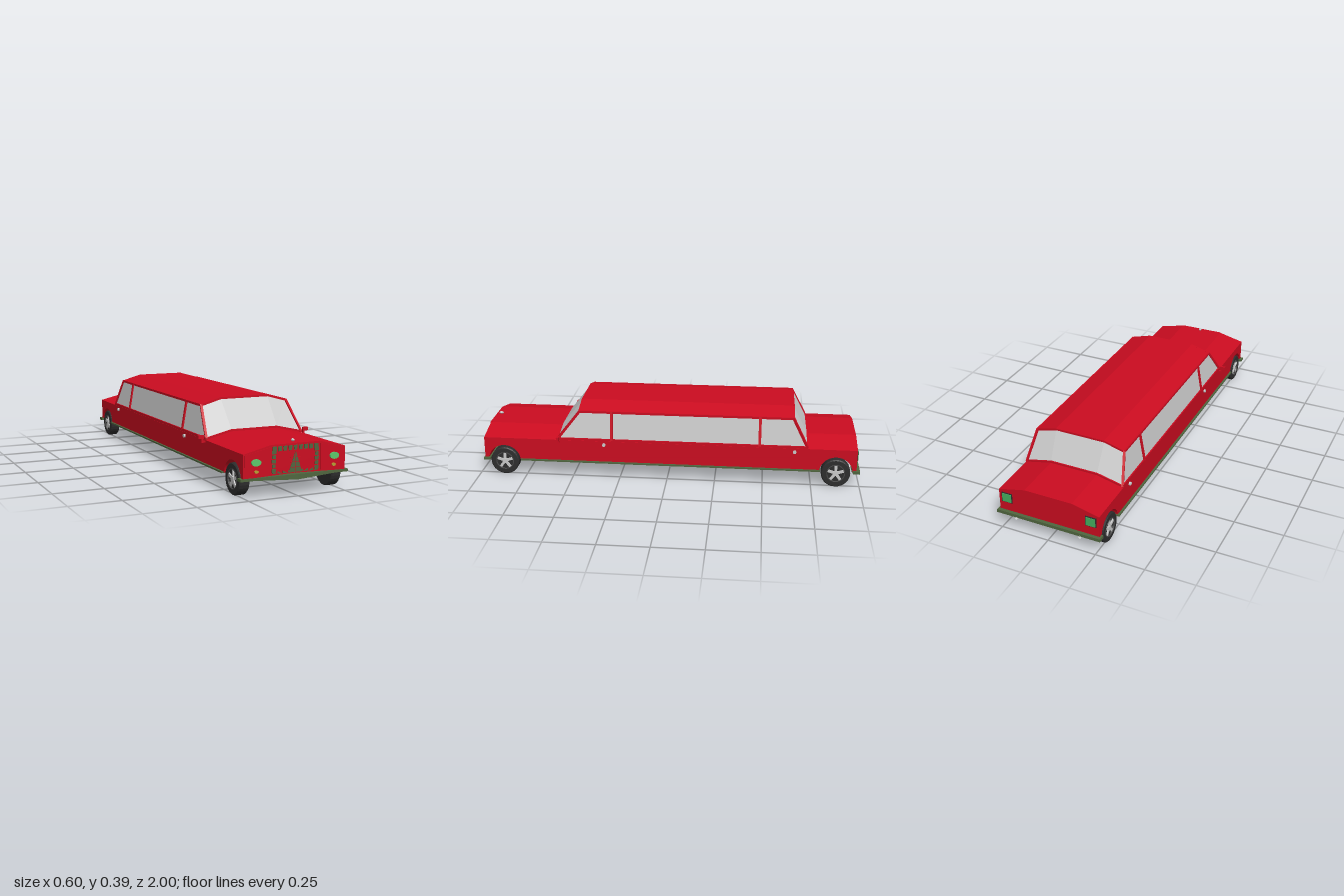
import * as THREE from 'three';

const mat = (color, side = THREE.FrontSide) =>
  new THREE.MeshStandardMaterial({ color, side, flatShading: true });
const RED = mat(0xcc0c20), GREEN = mat(0x50663f), DARK = mat(0x2e2e2e), RIM = mat(0x4a4a4a);
const GREY = mat(0xcccccc), LAMP = mat(0x5cc96c), TAIL = mat(0x45b060), AMBER = mat(0xb8a034);
const GLASS = mat(0xcccccc, THREE.DoubleSide), ROOF = mat(0xcc0c20, THREE.DoubleSide);

const V = (x, y, z) => new THREE.Vector3(x, y, z);

export function createModel() {
  const car = new THREE.Group();
  car.name = 'limousine';

  const add = (name, geo, material, x = 0, y = 0, z = 0, parent = car) => {
    const m = new THREE.Mesh(geo, material);
    m.name = name;
    m.position.set(x, y, z);
    parent.add(m);
    return m;
  };
  const box = (name, material, w, h, d, x, y, z) =>
    add(name, new THREE.BoxGeometry(w, h, d), material, x, y, z);

  // Square bar running between two points
  const bar = (name, a, b, w, material = RED, h = w) => {
    const m = add(name, new THREE.BoxGeometry(w, h, a.distanceTo(b) + w * 0.5), material);
    m.position.copy(a).add(b).multiplyScalar(0.5);
    m.lookAt(b);
    return m;
  };

  // Faceted sheet between two rows of points
  const sheet = (name, rowA, rowB, material) => {
    const p = [];
    for (let i = 0; i < rowA.length - 1; i++) {
      for (const v of [rowA[i], rowA[i + 1], rowB[i + 1], rowA[i], rowB[i + 1], rowB[i]]) p.push(v.x, v.y, v.z);
    }
    const g = new THREE.BufferGeometry();
    g.setAttribute('position', new THREE.Float32BufferAttribute(p, 3));
    g.computeVertexNormals();
    return add(name, g, material);
  };

  // Flat outline extruded towards +z
  const plate = (name, points, depth, material, x = 0, y = 0, z = 0) =>
    add(name, new THREE.ExtrudeGeometry(new THREE.Shape(points.map(([a, b]) => new THREE.Vector2(a, b))),
      { depth, bevelEnabled: false }), material, x, y, z);

  const axles = [0.865, -0.875];

  // Lower body: side profile with round wheel arches cut right across
  const side = new THREE.Shape();
  const R = 0.086, cy = 0.078, low = 0.088;
  const half = Math.sqrt(R * R - (low - cy) ** 2), ang = Math.asin((low - cy) / R);
  side.moveTo(-0.98, low);
  for (const z of [axles[1], axles[0]]) {
    side.lineTo(z - half, low);
    side.absarc(z, cy, R, Math.PI - ang, ang, true);
  }
  side.lineTo(0.97, low);
  side.lineTo(0.97, 0.205);
  side.lineTo(-0.98, 0.205);
  const bodyGeo = new THREE.ExtrudeGeometry(side, { depth: 0.53, bevelEnabled: false, curveSegments: 20 });
  bodyGeo.rotateY(-Math.PI / 2);
  add('body', bodyGeo, RED, 0.265);

  // Crowned bonnet and boot deck
  plate('deck', [[-0.265, 0.205], [0.265, 0.205], [0.125, 0.238], [-0.125, 0.238]], 1.95, RED, 0, 0, -0.98);

  // Cabin: four-point rows across the car for screen bases and roof ends
  const row = (pts, z) => pts.map(([x, y]) => V(x, y, z));
  const basePts = [[-0.26, 0.212], [-0.125, 0.243], [0.125, 0.243], [0.26, 0.212]];
  const topPts = [[-0.235, 0.357], [-0.13, 0.386], [0.13, 0.386], [0.235, 0.357]];
  const fb = row(basePts, 0.575), ft = row(topPts, 0.46);
  const rb = row(basePts, -0.725), rt = row(topPts, -0.65);
  sheet('windscreen', fb, ft, GLASS);
  sheet('rearWindow', rt, rb, GLASS);
  for (const i of [0, 3]) sheet('sideWindows', [fb[i], rb[i]], [ft[i], rt[i]], GLASS);
  sheet('roof', row(topPts.map(([x, y]) => [x, y + 0.005]), 0.465),
    row(topPts.map(([x, y]) => [x, y + 0.005]), -0.655), ROOF);

  // Window frames, roof edges and pillars
  for (const [b, t] of [[fb, ft], [rb, rt]]) {
    for (let i = 0; i < 3; i++) {
      bar('screenSill', b[i], b[i + 1], 0.009);
      bar('roofEdge', t[i], t[i + 1], 0.01);
    }
    for (const i of [0, 3]) bar('cornerPillar', b[i], t[i], 0.012);
  }
  for (const i of [0, 3]) {
    bar('roofRail', ft[i], rt[i], 0.011);
    bar('windowSill', fb[i], rb[i], 0.012);
    const s = Math.sign(fb[i].x);
    for (const z of [0.29, -0.48]) bar('doorPillar', V(s * 0.26, 0.212, z), V(s * 0.235, 0.357, z), 0.014);
  }

  // Floor, bumpers
  box('floor', GREEN, 0.55, 0.008, 1.57, 0, 0.088, -0.01);
  box('rearFloor', GREEN, 0.53, 0.008, 0.03, 0, 0.088, -0.972);
  box('rearBumper', GREEN, 0.55, 0.016, 0.035, 0, 0.086, -0.98);
  const bumper = new THREE.BoxGeometry(0.56, 0.012, 0.035, 8, 1, 1);
  const bp = bumper.attributes.position;
  for (let i = 0; i < bp.count; i++) {
    const k = Math.max(0, 1 - Math.abs(bp.getX(i)) / 0.21);
    if (bp.getZ(i) > 0) bp.setZ(i, bp.getZ(i) + 0.025 * k);
    bp.setY(i, bp.getY(i) + (bp.getY(i) < 0 ? -0.007 : 0.006) * k);
  }
  add('frontBumper', bumper, GREEN, 0, 0.089, 0.958);

  // Grille: dark backing tiles round the border and a split central spire
  const gz = 0.969;
  for (let i = 0; i < 9; i++) {
    const x = -0.108 + i * 0.027;
    const edge = Math.abs(i - 4) / 4 * 0.004;
    plate('grilleTop', [[-0.01, 0], [0.01, 0], [0.006 + edge, -0.022], [-0.006 - edge, -0.022]], 0.004, GREEN, x, 0.229, gz);
    if (i !== 4) plate('grilleBottom', [[-0.011, 0], [0.011, 0], [0.011 * Math.sign(i - 4), 0.012]], 0.004, GREEN, x, 0.105, gz);
  }
  for (const s of [-1, 1]) {
    for (let j = 0; j < 5; j++) box('grilleSide', GREEN, 0.021 - (j % 2) * 0.004, 0.016, 0.004, s * 0.111, 0.119 + j * 0.021, gz + 0.002);
  }
  plate('grilleSpire', [[-0.034, 0.105], [0.034, 0.105], [0, 0.203]], 0.004, GREEN, 0, 0, gz);
  box('spireBar', RED, 0.002, 0.1, 0.006, 0, 0.153, gz + 0.002);
  for (const y of [0.128, 0.152, 0.174]) box('spireBar', RED, 0.05, 0.002, 0.006, 0, y, gz + 0.002);
  bar('grilleLip', V(-0.12, 0.235, 0.97), V(0.12, 0.235, 0.97), 0.007);

  // Bonnet ornament
  add('ornament', new THREE.SphereGeometry(0.007, 10, 8), GREY, 0, 0.248, 0.945).scale.z = 1.8;

  // Parts mirrored left and right
  for (const s of [-1, 1]) {
    const disc = (name, rx, ry, d, material, x, y, z) => {
      const m = add(name, new THREE.CylinderGeometry(1, 1, d, 14).rotateX(Math.PI / 2), material, x, y, z);
      m.scale.set(rx, ry, 1);
    };
    plate('lampPanel', [[s * 0.135, 0.103], [s * 0.26, 0.103], [s * 0.26, 0.2], [s * 0.132, 0.227]]
      .sort((a, b) => 0), 0.003, RED, 0, 0, 0.969);
    disc('headlamp', 0.024, 0.016, 0.012, LAMP, s * 0.203, 0.165, 0.975);
    disc('indicator', 0.01, 0.007, 0.01, AMBER, s * 0.201, 0.123, 0.974);
    box('tailLampFrame', DARK, 0.056, 0.052, 0.006, s * 0.222, 0.168, -0.981);
    box('tailLamp', TAIL, 0.048, 0.044, 0.012, s * 0.222, 0.168, -0.981);

    // Door mirror
    box('mirrorStem', RED, 0.022, 0.008, 0.01, s * 0.272, 0.197, 0.57);
    box('mirrorPost', RED, 0.009, 0.025, 0.01, s * 0.28, 0.206, 0.57);
    box('mirrorHead', RED, 0.028, 0.017, 0.012, s * 0.288, 0.221, 0.57);

    // Door handles
    for (const z of [0.33, -0.66]) {
      add('doorHandle', new THREE.CylinderGeometry(0.009, 0.009, 0.01, 12).rotateZ(Math.PI / 2), GREY, s * 0.269, 0.187, z);
    }

    // Exhaust pipe
    const path = new THREE.CatmullRomCurve3([V(s * 0.17, 0.082, -0.88), V(s * 0.17, 0.076, -0.94), V(s * 0.17, 0.073, -0.998)]);
    add('exhaust', new THREE.TubeGeometry(path, 6, 0.009, 10), mat(0xcccccc, THREE.DoubleSide));

    // Wheels with five-spoke rims
    for (const z of axles) {
      const wheel = new THREE.Group();
      wheel.name = 'wheel';
      wheel.position.set(s * 0.24, 0.075, z);
      wheel.rotation.y = s * Math.PI / 2;
      car.add(wheel);
      const profile = [[0.046, -0.026], [0.07, -0.026], [0.075, -0.021], [0.075, 0.021], [0.07, 0.026], [0.048, 0.026], [0.045, 0.018], [0, 0.018]]
        .map(([r, h]) => new THREE.Vector2(r, h));
      profile.unshift(new THREE.Vector2(0, -0.026));
      add('tyre', new THREE.LatheGeometry(profile, 28).rotateX(Math.PI / 2), DARK, 0, 0, 0, wheel);
      add('rim', new THREE.TorusGeometry(0.046, 0.003, 6, 28), RIM, 0, 0, 0.025, wheel);
      add('hub', new THREE.CylinderGeometry(0.014, 0.014, 0.01, 14).rotateX(Math.PI / 2), GREY, 0, 0, 0.022, wheel);
      for (let i = 0; i < 5; i++) {
        const spoke = add('spoke', new THREE.BoxGeometry(0.014, 0.036, 0.007).translate(0, 0.027, 0), GREY, 0, 0, 0.021, wheel);
        spoke.rotation.z = i * Math.PI * 2 / 5;
      }
    }
  }

  // Axles
  for (const z of axles) add('axle', new THREE.CylinderGeometry(0.015, 0.015, 0.44, 12).rotateZ(Math.PI / 2), DARK, 0, 0.07, z);

  return car;
}
